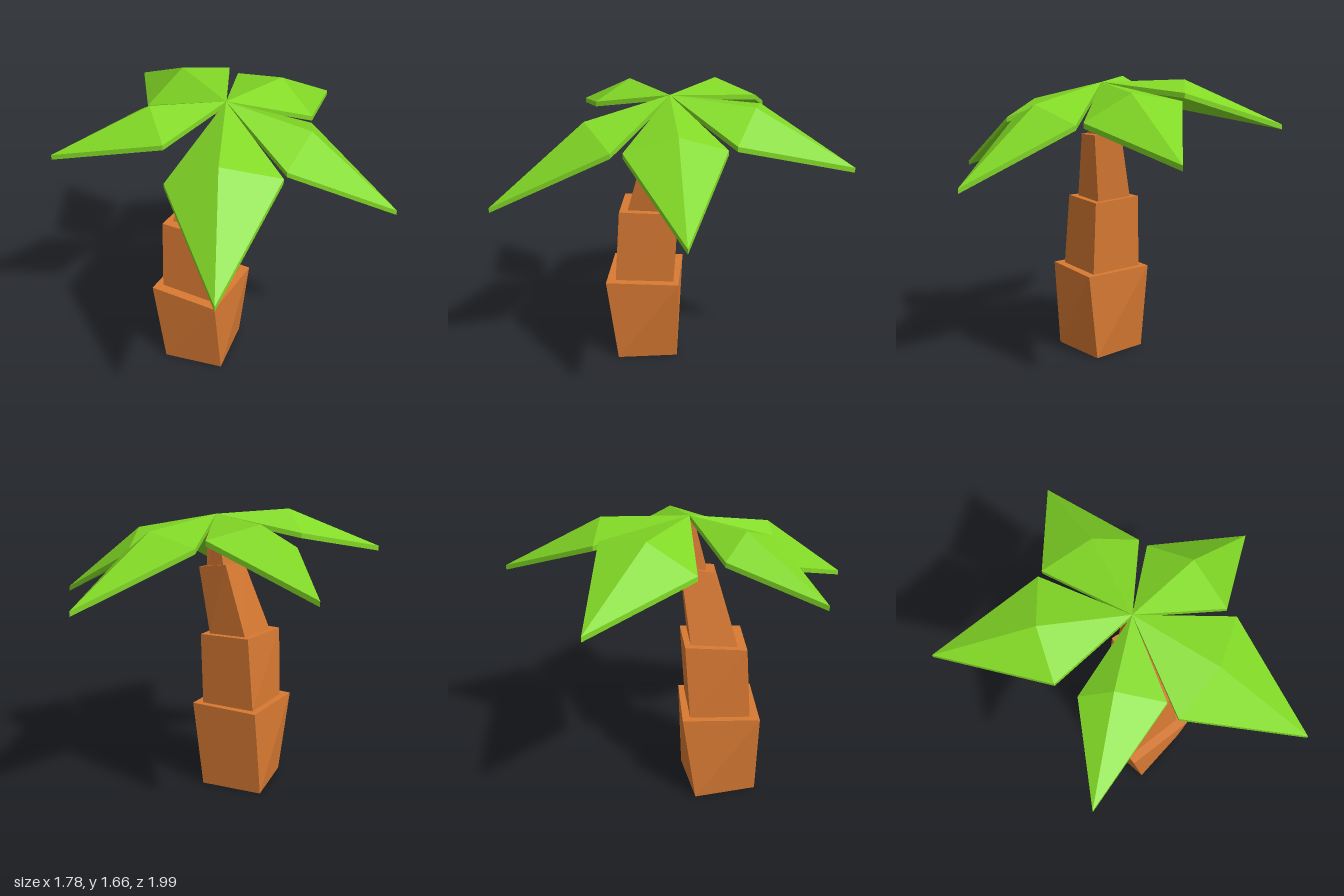
import * as THREE from 'three';

const bark = new THREE.MeshStandardMaterial({ color: 0xd97a33, flatShading: true });
const green = new THREE.MeshStandardMaterial({ color: 0x82d926, flatShading: true });

// Closed solid between two rings (counter-clockwise from above), each capped by a fan
function solid(name, material, bottom, top, bottomMid, topMid) {
  const tris = [];
  const n = bottom.length;
  for (let i = 0; i < n; i++) {
    const j = (i + 1) % n;
    tris.push(bottom[i], bottom[j], top[j], bottom[i], top[j], top[i]);
    tris.push(top[i], top[j], topMid, bottom[j], bottom[i], bottomMid);
  }
  const geometry = new THREE.BufferGeometry();
  geometry.setAttribute('position', new THREE.Float32BufferAttribute(tris.flat(), 3));
  geometry.computeVertexNormals();
  const mesh = new THREE.Mesh(geometry, material);
  mesh.name = name;
  return mesh;
}

const centre = (ring) => [0, 1, 2].map((k) => ring.reduce((s, p) => s + p[k], 0) / ring.length);

// Trunk blocks: bottom and top corners, from front left round by the back
const trunkBlocks = [
  [[[-0.02, 0, 0.305], [-0.015, 0, -0.06], [-0.38, 0, -0.06], [-0.38, 0, 0.305]],
    [[-0.03, 0.515, 0.37], [0.05, 0.52, -0.06], [-0.36, 0.535, -0.13], [-0.44, 0.525, 0.3]]],
  [[[-0.065, 0.51, 0.31], [-0.005, 0.515, -0.035], [-0.33, 0.53, -0.08], [-0.39, 0.52, 0.255]],
    [[-0.08, 0.95, 0.28], [0, 0.955, -0.06], [-0.3, 0.97, -0.1], [-0.38, 0.955, 0.23]]],
  [[[-0.11, 0.94, 0.23], [-0.045, 0.95, -0.03], [-0.27, 0.96, -0.06], [-0.335, 0.95, 0.19]],
    [[-0.05, 1.34, 0.125], [0.01, 1.35, -0.06], [-0.16, 1.38, -0.09], [-0.21, 1.36, 0.08]]],
  [[[-0.06, 1.33, 0.08], [-0.03, 1.34, -0.04], [-0.14, 1.36, -0.07], [-0.17, 1.35, 0.05]],
    [[-0.05, 1.61, 0.01], [-0.03, 1.61, -0.05], [-0.1, 1.61, -0.06], [-0.12, 1.61, 0.0]]],
];

// Leaves: first side corner, tip, second side corner, raised middle of the ridge
const hub = [-0.075, 1.645, -0.02];
const leaves = [
  [[0.34, 1.445, 0.265], [0.89, 1.14, -0.015], [0.34, 1.445, -0.29], [0.4, 1.54, -0.02]],
  [[-0.26, 1.38, 0.455], [0.19, 1.11, 0.99], [0.34, 1.445, 0.33], [0.04, 1.535, 0.46]],
  [[0.33, 1.46, -0.34], [0.285, 1.31, -0.995], [-0.175, 1.56, -0.555], [0.115, 1.61, -0.47]],
  [[-0.22, 1.6, -0.53], [-0.85, 1.405, -0.71], [-0.565, 1.51, -0.1], [-0.435, 1.66, -0.325]],
  [[-0.545, 1.56, 0.045], [-0.89, 1.44, 0.455], [-0.28, 1.565, 0.39], [-0.43, 1.665, 0.185]],
];

export function createModel() {
  const model = new THREE.Group();
  model.name = 'palmTree';

  const trunk = new THREE.Group();
  trunk.name = 'trunk';
  trunkBlocks.forEach(([bottom, top], i) => {
    trunk.add(solid(`trunkBlock${i + 1}`, bark, bottom, top, centre(bottom), centre(top)));
  });

  // Each leaf is a folded sheet of even thickness
  const crown = new THREE.Group();
  crown.name = 'crown';
  const lower = ([x, y, z]) => [x, y - 0.028, z];
  leaves.forEach(([sideA, tip, sideB, middle], i) => {
    const ring = [hub, sideA, tip, sideB];
    crown.add(solid(`leaf${i + 1}`, green, ring.map(lower), ring, lower(middle), middle));
  });

  model.add(trunk, crown);
  return model;
}
